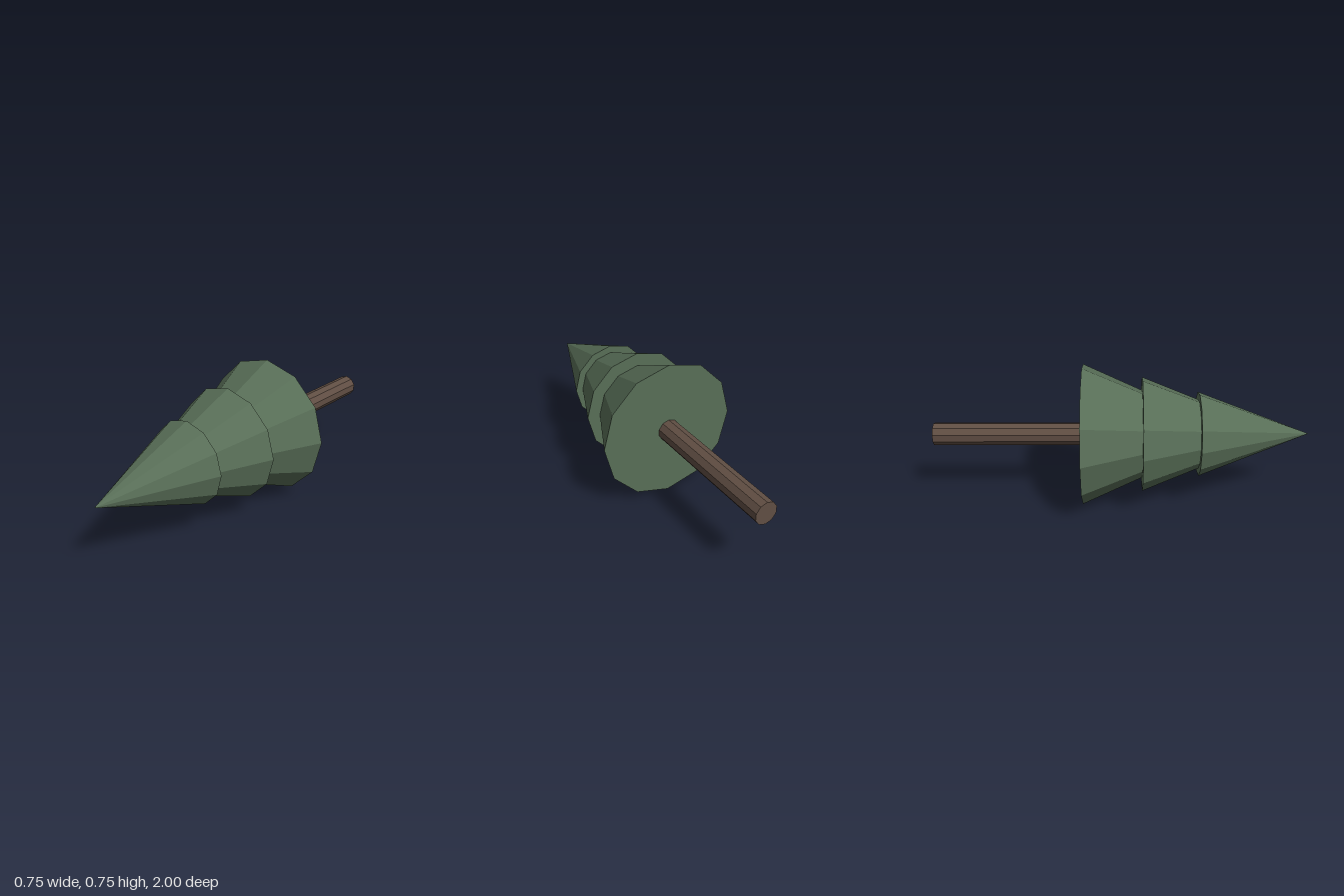
import * as THREE from 'three';

export function createModel() {
  const model = new THREE.Group();
  model.name = 'pineTree';
  const centreY = 0.375;
  const green = new THREE.MeshStandardMaterial({ color: 0x586e57, flatShading: true });
  const brown = new THREE.MeshStandardMaterial({ color: 0x604e43, flatShading: true });

  // Adds a faceted round part lying along z, from back to front
  function addPart(name, rBack, rFront, back, front, sides, material) {
    const geometry = new THREE.CylinderGeometry(rFront, rBack, front - back, sides);
    geometry.rotateX(Math.PI / 2);
    const mesh = new THREE.Mesh(geometry, material);
    mesh.name = name;
    mesh.position.set(0, centreY, (front + back) / 2);
    model.add(mesh);
  }

  // Trunk
  addPart('trunk', 0.06, 0.06, -1, -0.2, 10, brown);

  // Overlapping foliage cones: name, base radius, base z, tip z
  const tiers = [
    ['lowerFoliage', 0.375, -0.205, 0.63],
    ['middleFoliage', 0.305, 0.11, 0.87],
    ['upperFoliage', 0.225, 0.41, 1],
  ];
  for (const [name, radius, base, tip] of tiers) addPart(name, radius, 0, base, tip, 12, green);

  return model;
}
